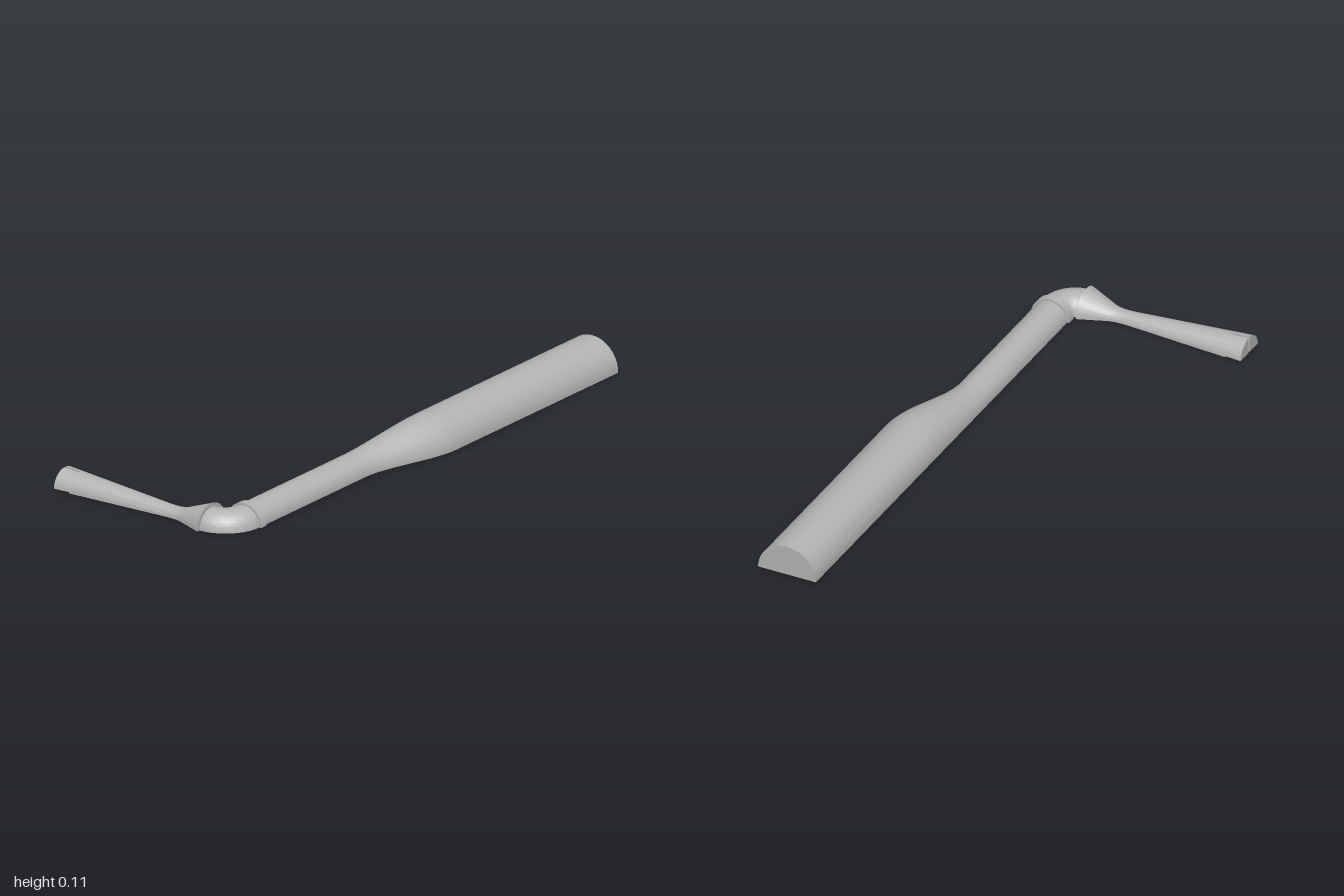
import * as THREE from 'three';
import { toCreasedNormals } from 'three/addons/utils/BufferGeometryUtils.js';

// Cross-sections as [sideways, up] points, counter-clockwise
function arc(r, from, to, n) {
  return Array.from({ length: n + 1 }, (_, i) => {
    const a = from + (to - from) * i / n;
    return [r * Math.cos(a), r * Math.sin(a)];
  });
}
const halfDisc = r => arc(r, 0, Math.PI, 40);
const GAP = 0.004;
const prongRight = r => [[GAP, GAP], ...arc(r, Math.asin(GAP / r), Math.acos(GAP / r), 20)];
const prongLeft = r => prongRight(r).map(([u, v]) => [-u, v]).reverse();

// Solid lofted through stations { x, z, dx, dz, r }, where dx, dz is the direction of travel
function loft(stations, profile) {
  const pos = [], index = [];
  let n = 0;
  for (const s of stations) {
    const pts = profile(s.r);
    n = pts.length;
    for (const [u, v] of pts) pos.push(s.x - s.dz * u, v, s.z + s.dx * u);
  }
  const last = (stations.length - 1) * n;
  for (let i = 0; i < last; i += n) {
    for (let j = 0; j < n; j++) {
      const k = (j + 1) % n;
      index.push(i + j, i + n + j, i + k, i + k, i + n + j, i + n + k);
    }
  }
  for (let j = 1; j < n - 1; j++) {
    index.push(0, j, j + 1, last, last + j + 1, last + j);
  }
  const geo = new THREE.BufferGeometry();
  geo.setAttribute('position', new THREE.Float32BufferAttribute(pos, 3));
  geo.setIndex(index);
  return toCreasedNormals(geo, 0.6);
}

export function createModel() {
  const group = new THREE.Group();
  const grey = new THREE.MeshStandardMaterial({ color: 0xb4b4b4 });
  grey.name = 'grey';
  const add = (name, stations, profile = halfDisc) => {
    const mesh = new THREE.Mesh(loft(stations, profile), grey);
    mesh.name = name;
    group.add(mesh);
  };

  const PIPE_R = 0.064, PIPE_X = 0.268, BEND_X = 0.19, BEND_Z = 0.845, BEND_R = PIPE_X - BEND_X;
  const alongZ = (x, z, r) => ({ x, z, dx: 0, dz: 1, r });
  const alongX = (x, r) => ({ x, z: BEND_Z + BEND_R, dx: -1, dz: 0, r });

  // Long handle: wide grip easing to a narrow pipe, one side staying straight
  const handle = [alongZ(0.312, -1, 0.108)];
  for (let i = 0; i <= 24; i++) {
    const t = i / 24, s = t * t * (3 - 2 * t);
    const r = THREE.MathUtils.lerp(0.108, PIPE_R, s);
    handle.push(alongZ(0.204 + r, -0.12 + 0.39 * t, r));
  }
  handle.push(alongZ(PIPE_X, BEND_Z, PIPE_R));
  add('handle', handle);

  // Raised ring where the pipe meets the elbow
  add('collar', [alongZ(PIPE_X, 0.815, 0.071), alongZ(PIPE_X, BEND_Z, 0.071)]);

  // Quarter-turn elbow
  const elbow = [];
  for (let i = 0; i <= 24; i++) {
    const a = Math.PI / 2 * i / 24, c = Math.cos(a), s = Math.sin(a);
    elbow.push({ x: BEND_X + BEND_R * c, z: BEND_Z + BEND_R * s, dx: -s, dz: c, r: PIPE_R });
  }
  add('elbow', elbow);

  // Side arm: flared socket, thin neck, widening to the tip
  const SLOT_X = -0.36, slotR = 0.0585;
  add('arm', [
    [BEND_X, 0.077], [0.09, 0.0385], [0.075, 0.0348], [0.06, 0.0328], [0.04, 0.032],
    [0.02, 0.0325], [0, 0.0336], [SLOT_X, slotR],
  ].map(([x, r]) => alongX(x, r)));

  // Slotted tip: two prongs either side of the slot
  const tip = [alongX(SLOT_X, slotR), alongX(-0.42, 0.0625)];
  add('tipProngFront', tip, prongLeft);
  add('tipProngBack', tip, prongRight);

  return group;
}
